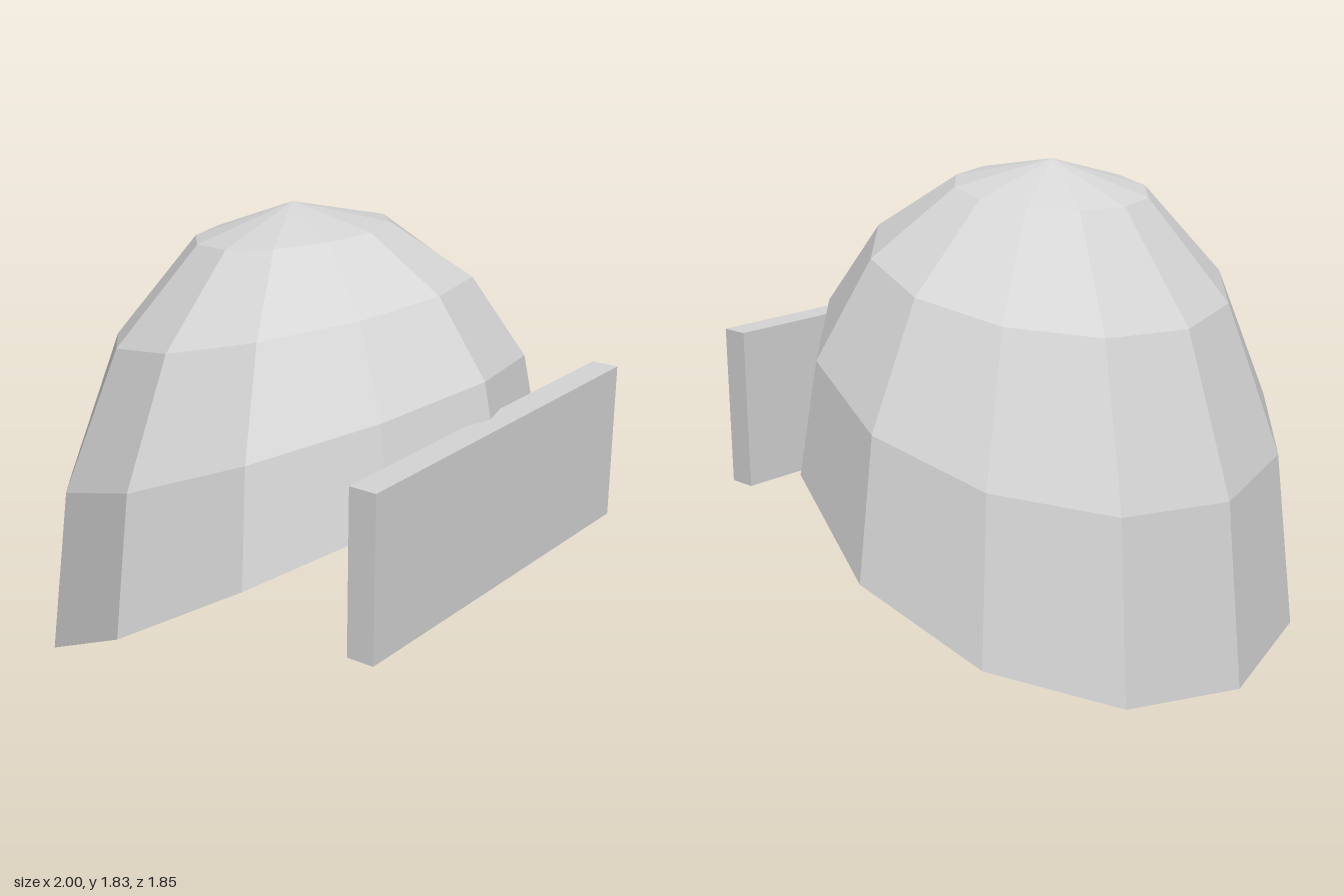
import * as THREE from 'three';

const TOP = 1.833;      // crown height
const SIDE_DROP = 1.37; // crown to rim at the sides
const ROWS = 4;

// One normal per four-sided panel (each panel is six vertices)
function panelNormals(geo) {
  const p = geo.attributes.position;
  const normals = new Float32Array(p.count * 3);
  const [a, b, c] = [new THREE.Vector3(), new THREE.Vector3(), new THREE.Vector3()];
  for (let i = 0; i < p.count; i += 6) {
    const n = new THREE.Vector3();
    for (const j of [i, i + 3]) {
      a.fromBufferAttribute(p, j);
      b.fromBufferAttribute(p, j + 1).sub(a);
      c.fromBufferAttribute(p, j + 2).sub(a);
      n.add(b.cross(c));
    }
    n.normalize();
    for (let j = i; j < i + 6; j++) n.toArray(normals, j * 3);
  }
  geo.setAttribute('normal', new THREE.BufferAttribute(normals, 3));
}

// Thick 12-sided dome whose rim is low at the back and raised at the front
function shellGeometry() {
  const inner = [], outer = [];
  for (let i = 0; i <= ROWS; i++) {
    const a = (i / ROWS) * Math.PI / 2;
    const r = Math.sin(a), c = Math.cos(a);
    inner.push(new THREE.Vector2(r * 0.95, c * 0.96 + 0.011));
    outer.unshift(new THREE.Vector2(r, c));
  }
  const profile = [...inner, ...outer];
  const lathe = new THREE.LatheGeometry(profile, 12);

  // Stretch each column down from the crown by its own amount;
  // the wall is thinner at the front and back than at the sides
  const p = lathe.attributes.position;
  for (let i = 0; i < p.count; i++) {
    const x = p.getX(i), z = p.getZ(i);
    const facing = z / (Math.hypot(x, z) || 1); // 1 front, -1 back
    const drop = SIDE_DROP - facing * (facing > 0 ? 0.53 : 0.463);
    const isInner = i % profile.length < inner.length;
    const widen = isInner ? 1 + 0.03 * facing * facing : 1;
    p.setXYZ(i, x * widen, TOP - (1 - p.getY(i)) * drop, z * widen * 0.91 - 0.017);
  }
  const geo = lathe.toNonIndexed();
  panelNormals(geo);
  return geo;
}

export function createModel() {
  const model = new THREE.Group();
  model.name = 'helmet';

  const grey = new THREE.MeshStandardMaterial({ color: 0xd6d6d6 });
  grey.name = 'light grey';

  const shell = new THREE.Mesh(shellGeometry(), grey);
  shell.name = 'helmetShell';
  model.add(shell);

  // Flat slab across the face opening
  const visor = new THREE.Mesh(new THREE.BoxGeometry(1.59, 0.605, 0.105), grey);
  visor.name = 'visor';
  visor.position.set(0, 0.88, 0.873);
  model.add(visor);

  return model;
}
